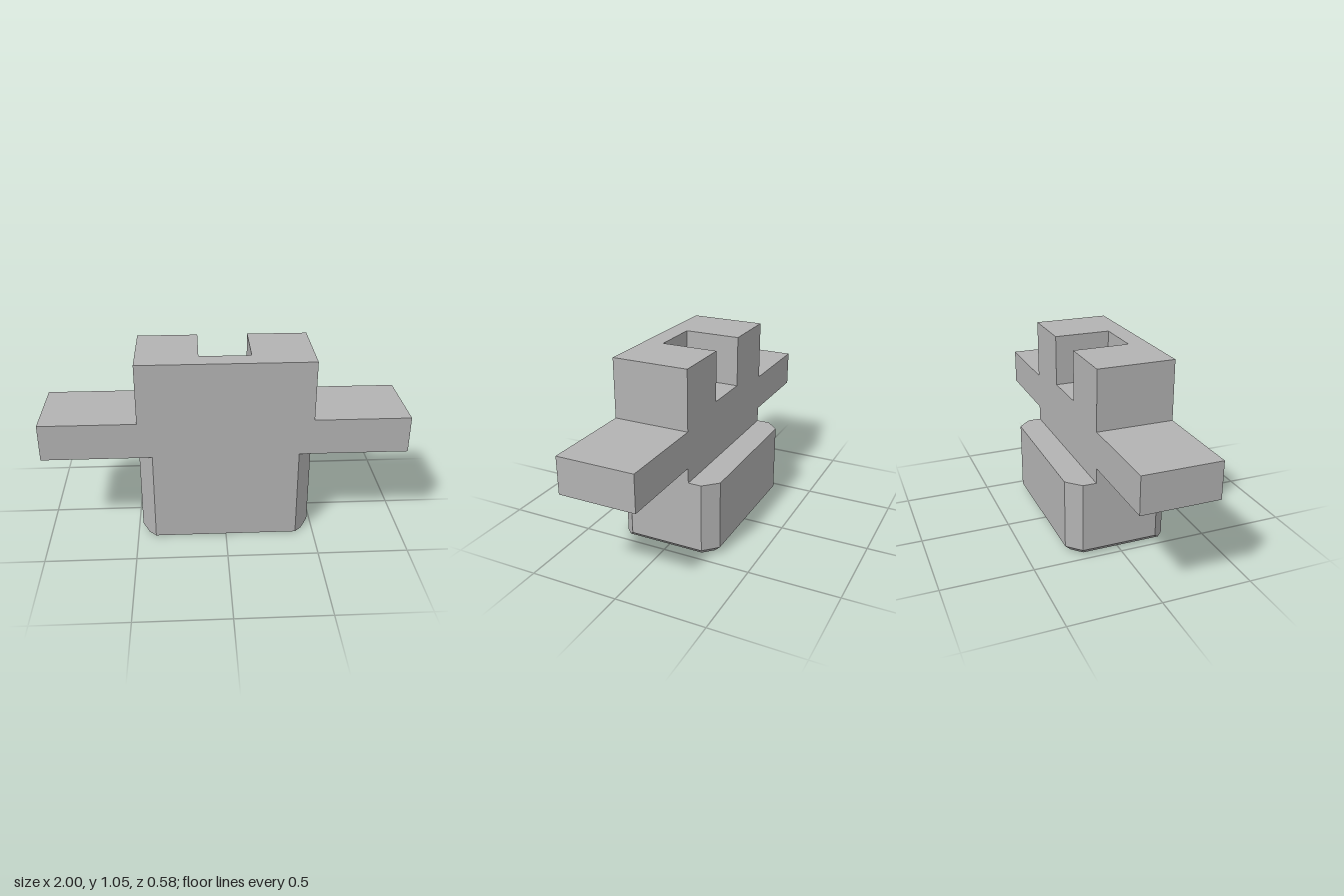
import * as THREE from 'three';

const FRONT = 0.29, BACK = -0.14;   // depth of the upper part
const NOTCH = 0.18;                 // front wall of the rear notch

// Mirror the +x half of a plan outline into a closed ring, counterclockwise from above
const mirrorRing = half => [...half, ...half.map(([x, z]) => [-x, z]).reverse()];

// Flat-shaded solid through rings of equal point count, each at its own height
function loft(levels) {
  const pos = [];
  const tri = (...pts) => pts.forEach(p => pos.push(...p));
  const rings = levels.map(([y, half]) => mirrorRing(half).map(([x, z]) => [x, y, z]));
  const n = rings[0].length;
  for (let r = 0; r < rings.length - 1; r++) {
    for (let i = 0; i < n; i++) {
      const j = (i + 1) % n, lo = rings[r], hi = rings[r + 1];
      tri(lo[i], lo[j], hi[j]);
      tri(lo[i], hi[j], hi[i]);
    }
  }
  const bottom = rings[0], top = rings[rings.length - 1];
  for (let i = 1; i < n - 1; i++) {
    tri(bottom[0], bottom[i + 1], bottom[i]);
    tri(top[0], top[i], top[i + 1]);
  }
  const geo = new THREE.BufferGeometry();
  geo.setAttribute('position', new THREE.Float32BufferAttribute(pos, 3));
  geo.computeVertexNormals();
  return geo;
}

// Front profile of body and arms, extruded along z; notched leaves a slot in the top
function crossSlab(z0, z1, notched) {
  const half = [[0.475, 0.515], [1, 0.515], [1, 0.72], [0.475, 0.72], [0.475, 1.055]];
  if (notched) half.push([0.14, 1.055], [0.14, 0.77]);
  const shape = new THREE.Shape(mirrorRing(half).map(([x, y]) => new THREE.Vector2(x, y)));
  const geo = new THREE.ExtrudeGeometry(shape, { depth: z1 - z0, bevelEnabled: false });
  return geo.translate(0, 0, z0);
}

export function createModel() {
  const group = new THREE.Group();
  group.name = 'crossBlock';
  const grey = new THREE.MeshStandardMaterial({ color: 0xb3b3b3 });
  grey.name = 'plain grey';
  const add = (name, geo) => {
    const mesh = new THREE.Mesh(geo, grey);
    mesh.name = name;
    group.add(mesh);
  };

  // Lower block: chamfered corners, bottom edge bevelled on the sides and back
  const plan = [[0.4, FRONT], [0.475, 0.215], [0.475, -0.215], [0.4, -0.29]];
  const foot = [[0.4, FRONT], [0.438, 0.252], [0.438, -0.2], [0.385, -0.253]];
  add('lowerBlock', loft([[0, foot], [0.037, plan], [0.43, plan]]));

  // Neck above the rear ledge, with chamfers at the front only
  const neck = [[0.4, FRONT], [0.475, 0.215], [0.475, BACK]];
  add('neck', loft([[0.43, neck], [0.515, neck]]));

  // Upper body with side arms: solid front slab, notched rear slab
  add('upperFront', crossSlab(NOTCH, FRONT, false));
  add('upperBackNotched', crossSlab(BACK, NOTCH, true));

  return group;
}
